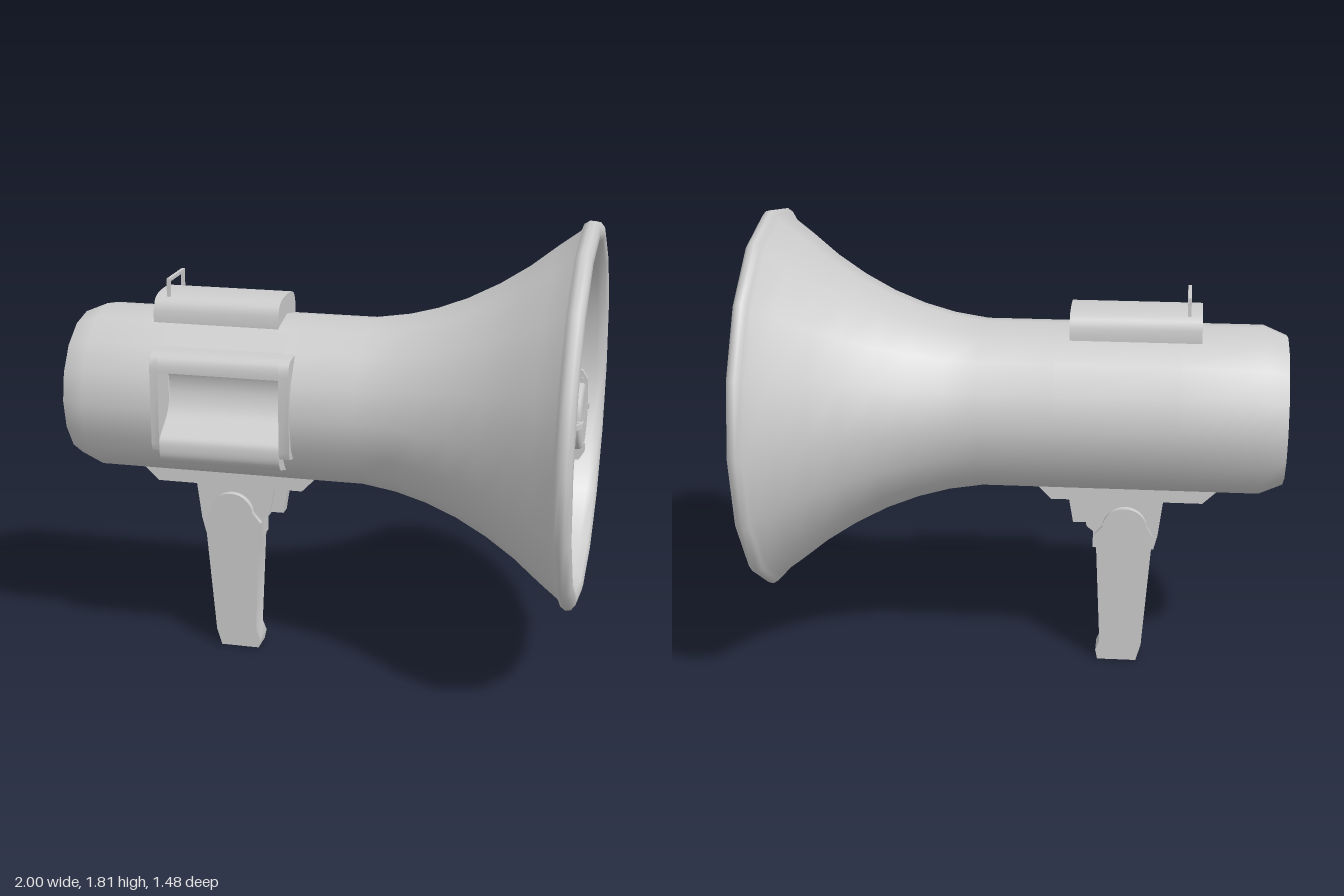
import * as THREE from 'three';
import { toCreasedNormals } from 'three/addons/utils/BufferGeometryUtils.js';

const AXIS = 1.077; // height of the horn axis
const R = 0.325; // barrel radius
const material = new THREE.MeshStandardMaterial({ color: 0xcccccc });
const openMaterial = new THREE.MeshStandardMaterial({ color: 0xcccccc, side: THREE.DoubleSide });

export function createModel() {
  const model = new THREE.Group();

  const add = (name, geometry, mat = material, parent = model) => {
    const mesh = new THREE.Mesh(geometry, mat);
    mesh.name = name;
    parent.add(mesh);
    return mesh;
  };

  // Turned part around the horn axis; points are [x, radius], a repeated point makes a hard edge
  const turned = (name, profile, segments = 16, start = 0, length = Math.PI * 2) => {
    const points = profile.map(([x, r]) => new THREE.Vector2(r, x));
    const geometry = new THREE.LatheGeometry(points, segments, start, length);
    return add(name, geometry.rotateZ(-Math.PI / 2).translate(0, AXIS, 0), openMaterial);
  };

  // Outline in x, y given a thickness in z
  const plate = (points, depth) => {
    const shape = points instanceof THREE.Shape ? points
      : new THREE.Shape(points.map(([x, y]) => new THREE.Vector2(x, y)));
    return new THREE.ExtrudeGeometry(shape, { depth, bevelEnabled: false, curveSegments: 10 })
      .translate(0, 0, -depth / 2);
  };

  // Cross-section in z, y swept from x0 to x1
  const swept = (points, x0, x1) => {
    const shape = new THREE.Shape(points.map(([z, y]) => new THREE.Vector2(-z, y)));
    const geometry = new THREE.ExtrudeGeometry(shape, { depth: x1 - x0, bevelEnabled: false });
    return toCreasedNormals(geometry.rotateY(Math.PI / 2).translate(x0, 0, 0), 0.65);
  };

  // Smooth run of points through a few control points
  const curve = (points, count) => new THREE.SplineCurve(
    points.map(([a, b]) => new THREE.Vector2(a, b))).getPoints(count).map((v) => [v.x, v.y]);

  // Barrel, with an opening on the front for the side compartment
  turned('rearBarrel', [[-1, 0], [-1, 0.287], [-1, 0.287], [-0.91, R], [-0.6, R]]);
  turned('middleBarrel', [[-0.6, R], [-0.13, R]], 12, Math.PI / 4, Math.PI * 1.5);

  // Flared horn with rolled lip and inner throat
  turned('horn', [
    [-0.13, R], [0.15, R], [0.28, 0.345], [0.4, 0.378], [0.52, 0.425], [0.64, 0.488],
    [0.75, 0.56], [0.85, 0.64], [0.93, 0.7], [0.94, 0.725], [0.96, 0.738], [0.98, 0.734],
    [0.995, 0.715], [1, 0.69], [0.99, 0.665], [0.96, 0.648], [0.92, 0.64], [0.85, 0.615],
    [0.75, 0.545], [0.64, 0.475], [0.52, 0.413], [0.4, 0.367], [0.28, 0.332], [0.15, 0.3],
    [0.06, 0.27], [0, 0.232], [-0.03, 0.195], [-0.045, 0.155], [-0.045, 0.155],
    [-0.1, 0.15], [-0.1, 0.15], [-0.1, 0.1],
  ]);

  // Central sound tube with four rails ending in prongs
  turned('soundTube', [[-0.12, 0.13], [0.965, 0.13], [0.965, 0.13], [0.975, 0.12],
    [0.965, 0]], 20);
  for (let i = 0; i < 4; i++) {
    const rail = new THREE.Group();
    rail.name = 'tubeRail';
    rail.position.y = AXIS;
    rail.rotation.x = (i * Math.PI) / 2;
    add('rail', new THREE.BoxGeometry(1.06, 0.025, 0.025).translate(0.435, 0.135, 0), material, rail);
    add('prong', plate([[0.93, 0.11], [0.98, 0.11], [0.98, 0.142], [0.96, 0.176],
      [0.945, 0.176], [0.93, 0.142]], 0.02), material, rail);
    model.add(rail);
  }

  // Side compartment: two end frames around a scooped tray
  const top = [[0.2, 1.305], ...curve([[0.245, 1.304], [0.3, 1.298], [0.325, 1.275], [0.331, 1.24]], 6)];
  const side = new THREE.Group();
  side.name = 'sideCompartment';
  model.add(side);
  const frame = [[0.2, 0.91], ...top, [0.331, 0.95], [0.32, 0.92], [0.28, 0.91]];
  add('frameRear', swept(frame, -0.63, -0.6), material, side);
  add('frameFront', swept(frame, -0.13, -0.09), material, side);
  const scoop = curve([[0.29, 1.23], [0.215, 1.215], [0.19, 1.16], [0.195, 1.1], [0.225, 1.04],
    [0.28, 1], [0.32, 0.97], [0.33, 0.935], [0.324, 0.895], [0.295, 0.866], [0.235, 0.855]], 36);
  add('tray', swept([[0.12, 0.855], [0.12, 1.305], ...top, [0.331, 1.23], ...scoop], -0.6, -0.13),
    material, side);

  // Flat-topped housing with rounded shoulders
  const shoulder = [[-0.132, 1.372], [-0.128, 1.42], [-0.114, 1.451], [-0.09, 1.468], [-0.05, 1.476]];
  const dome = curve([...shoulder, [0, 1.478], ...shoulder.map(([z, y]) => [-z, y]).reverse()], 20);
  add('topHousing', swept([[-0.13, 1.34], ...dome, [0.13, 1.34]], -0.675, -0.18));

  // Small wire loop on the housing
  const loop = new THREE.Group();
  loop.name = 'strapLoop';
  model.add(loop);
  for (const s of [-1, 1]) {
    add('loopLeg', new THREE.BoxGeometry(0.013, 0.07, 0.013).translate(-0.625, 1.5, s * 0.088),
      material, loop);
  }
  add('loopBar', new THREE.BoxGeometry(0.013, 0.013, 0.189).translate(-0.625, 1.53, 0), material, loop);

  // Mounting plate under the barrel
  add('mountPlate', plate([[-0.765, 0.762], [-0.7, 0.7], [-0.11, 0.7], [-0.05, 0.762]], 0.12));

  // Bracket and trigger between plate and grip
  add('bracket', plate([[-0.55, 0.71], [-0.53, 0.55], [-0.515, 0.49], [-0.275, 0.49],
    [-0.275, 0.56], [-0.25, 0.58], [-0.225, 0.71]], 0.08));
  add('trigger', plate([[-0.24, 0.71], [-0.25, 0.59], [-0.195, 0.59], [-0.175, 0.71]], 0.05));

  // Grip with rounded top, narrowing towards the foot
  const grip = new THREE.Shape();
  grip.moveTo(-0.455, 0);
  grip.lineTo(-0.475, 0.07);
  grip.lineTo(-0.51, 0.55);
  grip.lineTo(-0.488, 0.59);
  grip.absarc(-0.4, 0.58, 0.088, Math.PI - 0.1, 0.1, true);
  grip.lineTo(-0.28, 0.55);
  grip.lineTo(-0.29, 0.49);
  grip.lineTo(-0.308, 0.08);
  grip.lineTo(-0.292, 0.04);
  grip.lineTo(-0.3, 0);
  const gripGeometry = plate(grip, 0.096);
  const p = gripGeometry.attributes.position;
  for (let i = 0; i < p.count; i++) p.setZ(i, p.getZ(i) * (1 + 0.55 * p.getY(i)));
  add('grip', toCreasedNormals(gripGeometry, 0.6));

  return model;
}
